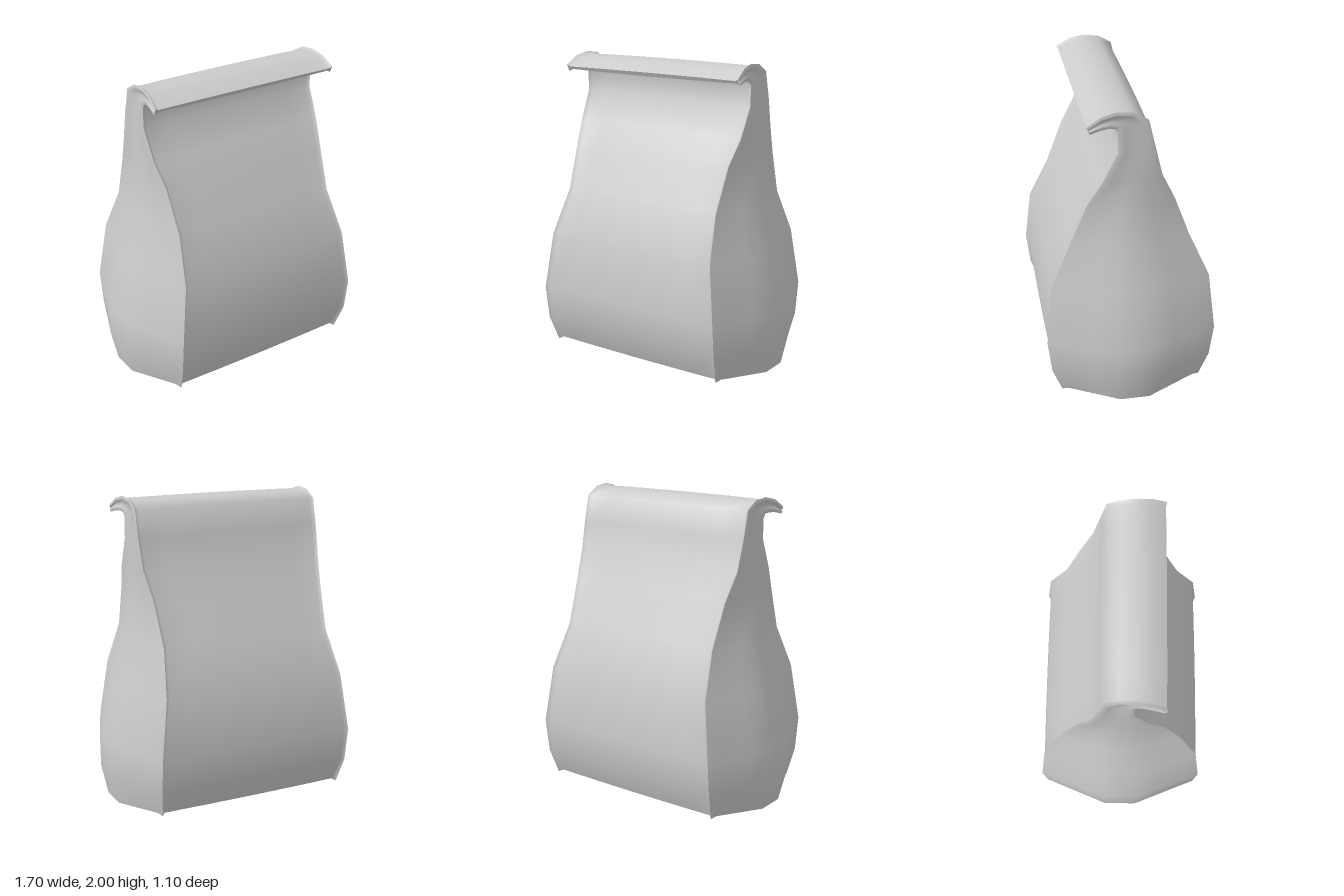
import * as THREE from 'three';

const material = new THREE.MeshStandardMaterial({ color: 0xcccccc, side: THREE.DoubleSide });

// Levels of the bag: front z, front y, back z, back y, seam half width, gusset half width
const LEVELS = [
  [0.44, 0.03, -0.44, 0.03, 0.655, 0.81],
  [0.515, 0.2, -0.51, 0.2, 0.68, 0.85],
  [0.54, 0.42, -0.535, 0.42, 0.685, 0.85],
  [0.5, 0.8, -0.495, 0.8, 0.635, 0.765],
  [0.37, 1.09, -0.365, 1.09, 0.592, 0.685],
  [0.26, 1.37, -0.26, 1.37, 0.61, 0.655],
  [0.17, 1.53, -0.17, 1.56, 0.64, 0.65],
  [0.075, 1.73, -0.12, 1.76, 0.65, 0.65],
  [0.075, 1.87, -0.08, 1.93, 0.65, 0.645],
  [0.1, 1.905, 0.0, 1.975, 0.65, 0.645],
  [0.14, 1.915, 0.1, 1.985, 0.655, 0.65],
  [0.2, 1.91, 0.19, 1.965, 0.665, 0.66],
  [0.265, 1.895, 0.275, 1.912, 0.675, 0.672],
];
const RIDGE = 0.015;

// Profile points with outward normals, in the (z, y) plane
function profile(offset, sign) {
  const pts = LEVELS.map(l => new THREE.Vector2(l[offset], l[offset + 1]));
  return pts.map((p, i) => {
    const a = pts[Math.max(i - 1, 0)], b = pts[Math.min(i + 1, pts.length - 1)];
    const t = b.clone().sub(a).normalize();
    return { p, n: new THREE.Vector2(t.y, -t.x).multiplyScalar(sign) };
  });
}

// Smooth surface through rows of points
function panel(name, rows) {
  const cols = rows[0].length, index = [];
  for (let r = 0; r < rows.length - 1; r++) {
    for (let c = 0; c < cols - 1; c++) {
      const a = r * cols + c, d = a + cols;
      index.push(a, a + 1, d + 1, a, d + 1, d);
    }
  }
  const geometry = new THREE.BufferGeometry().setFromPoints(rows.flat());
  geometry.setIndex(index);
  geometry.computeVertexNormals();
  const mesh = new THREE.Mesh(geometry, material);
  mesh.name = name;
  return mesh;
}

// Row across a broad panel, raised into a pinched seam at both ends
function broadRow({ p, n }, s, level) {
  const row = [];
  const add = (x, lift) => row.push(new THREE.Vector3(x, p.y + n.y * lift, p.x + n.x * lift));
  const end = level === 0 ? RIDGE * 1.8 : RIDGE;
  add(-s, end);
  for (let i = 0; i <= 8; i++) {
    const u = i / 4 - 1;
    add(u * (s - 0.025), 0.005 * (1 - u * u));
  }
  add(s, end);
  return row;
}

// Row across a side gusset, from the front seam to the back seam
function gussetRow(front, back, level) {
  const s = LEVELS[level][4], bulge = LEVELS[level][5];
  const end = level === 0 ? RIDGE * 1.8 : RIDGE;
  const tip = ({ p, n }) => new THREE.Vector3(s, p.y + n.y * end, p.x + n.x * end);
  const row = [tip(front)];
  for (const t of [0.02, 0.13, 0.26, 0.39, 0.5, 0.61, 0.74, 0.87, 0.98]) {
    const g = Math.min(1, Math.min(t, 1 - t) / 0.39);
    const q = front.p.clone().lerp(back.p, t);
    const sag = level === 0 ? 0.03 * g : 0;
    row.push(new THREE.Vector3(s + (bulge - s) * g + 0.006 * (1 - g), q.y - sag, q.x));
  }
  row.push(tip(back));
  return row;
}

export function createModel() {
  const bag = new THREE.Group();
  bag.name = 'paperBag';
  const front = profile(0, 1), back = profile(2, -1);

  // Broad panels, curling over at the top
  const frontRows = front.map((f, i) => broadRow(f, LEVELS[i][4], i));
  const backRows = back.map((b, i) => broadRow(b, LEVELS[i][4], i));
  bag.add(panel('frontPanel', frontRows));
  bag.add(panel('backPanel', backRows.map(r => [...r].reverse())));

  // Side gussets, mirrored
  const left = LEVELS.map((_, i) => gussetRow(front[i], back[i], i));
  const right = left.map(r => r.map(v => new THREE.Vector3(-v.x, v.y, v.z)).reverse());
  bag.add(panel('leftGusset', left));
  bag.add(panel('rightGusset', right));

  // Narrow edge closing the folded lip
  const last = LEVELS.length - 1;
  bag.add(panel('foldedLipEdge', [frontRows[last], backRows[last]]));
  return bag;
}
